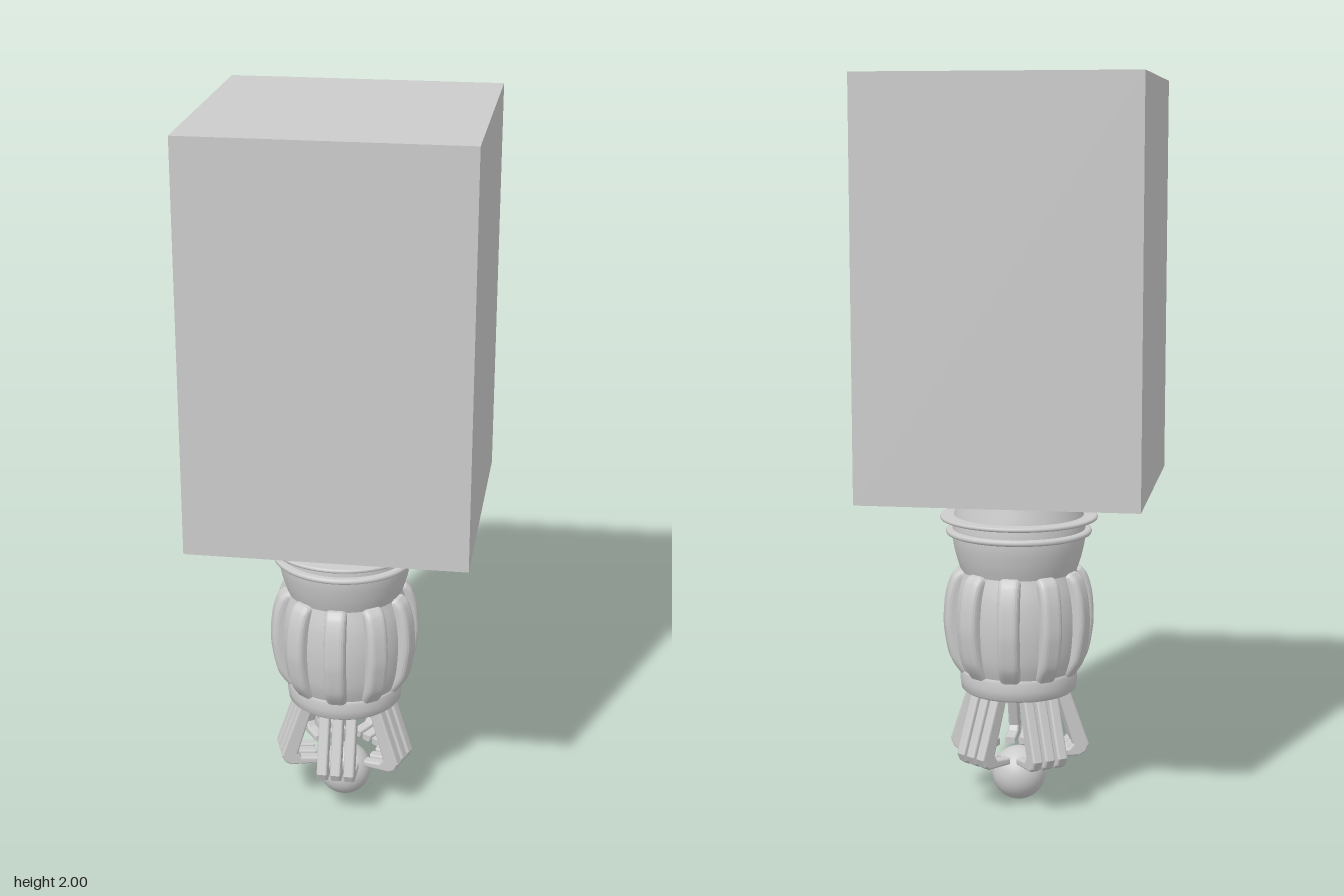
import * as THREE from 'three';

const grey = new THREE.MeshStandardMaterial({ color: 0xcccccc, side: THREE.DoubleSide });
const v2 = (pts) => pts.map(([x, y]) => new THREE.Vector2(x, y));

function add(parent, name, geometry, y = 0) {
  const mesh = new THREE.Mesh(geometry, grey);
  mesh.name = name;
  mesh.position.y = y;
  parent.add(mesh);
  return mesh;
}

// Upright plate whose (radius, height) outline faces outward along +z
function radialPlate(shape, thickness, bevel) {
  const depth = thickness - 2 * bevel;
  const geo = new THREE.ExtrudeGeometry(shape, {
    depth, bevelEnabled: true, bevelSize: bevel, bevelThickness: bevel,
    bevelOffset: -bevel, bevelSegments: 4, curveSegments: 8,
  });
  geo.translate(0, 0, -depth / 2);
  geo.rotateY(-Math.PI / 2);
  return geo;
}

export function createModel() {
  const model = new THREE.Group();
  model.name = 'claw lamp';

  // Large square block
  add(model, 'block', new THREE.BoxGeometry(0.745, 1.1, 0.745), 1.45);

  // Turned fitting, sitting slightly forward of the block's centre
  const fitting = new THREE.Group();
  fitting.name = 'fitting';
  fitting.position.z = 0.02;
  model.add(fitting);

  // Neck: waisted below the rings
  const neck = new THREE.SplineCurve(v2([
    [0.163, 0.9], [0.17, 0.86], [0.182, 0.8], [0.183, 0.75], [0.173, 0.7], [0.16, 0.66],
  ])).getPoints(24).reverse();
  add(fitting, 'neck', new THREE.LatheGeometry(neck, 64));

  // Bulging core between the ribs
  const core = new THREE.SplineCurve(v2([
    [0.155, 0.37], [0.174, 0.43], [0.182, 0.52], [0.176, 0.6], [0.16, 0.66],
  ])).getPoints(24);
  add(fitting, 'core', new THREE.LatheGeometry(core, 64));

  // Bottom collar with a closed underside
  add(fitting, 'collar', new THREE.LatheGeometry(v2([
    [0, 0.32], [0.15, 0.32], [0.15, 0.32], [0.16, 0.328], [0.163, 0.35],
    [0.163, 0.375], [0.158, 0.385], [0.14, 0.388],
  ]), 64));

  // Thin rings round the neck
  for (const [radius, y, thick] of [[0.204, 0.88, 0.012], [0.218, 0.81, 0.012], [0.202, 0.77, 0.016]]) {
    const h = thick / 2;
    add(fitting, 'neckRing', new THREE.LatheGeometry(v2([
      [0.15, -h], [radius - h, -h], [radius - h * 0.3, -h * 0.7], [radius, 0],
      [radius - h * 0.3, h * 0.7], [radius - h, h], [0.15, h],
    ]), 64), y);
  }

  // Ten rounded ribs
  const rib = new THREE.Shape();
  rib.moveTo(0.135, 0.375);
  rib.lineTo(0.165, 0.375);
  rib.splineThru(v2([[0.193, 0.42], [0.207, 0.49], [0.209, 0.54], [0.203, 0.6], [0.189, 0.645], [0.172, 0.665]]));
  rib.lineTo(0.135, 0.67);
  const ribGeo = radialPlate(rib, 0.06, 0.016);
  for (let i = 0; i < 10; i++) {
    add(fitting, 'rib', ribGeo).rotation.y = (i * Math.PI) / 5;
  }

  // Five claws, each of three parallel hooked bars
  const hook = new THREE.Shape(v2([
    [0.095, 0.33], [0.145, 0.165], [0.135, 0.152], [0.085, 0.147], [0.085, 0.128],
    [0.165, 0.13], [0.182, 0.14], [0.192, 0.162], [0.133, 0.33],
  ]));
  const hookGeo = radialPlate(hook, 0.03, 0.006);
  for (let i = 0; i < 5; i++) {
    const claw = new THREE.Group();
    claw.name = 'claw';
    claw.rotation.y = (i * Math.PI * 2) / 5;
    for (const side of [-1, 0, 1]) {
      add(claw, 'clawBar', hookGeo).position.x = side * 0.038;
    }
    fitting.add(claw);
  }

  // Ball held between the claws
  add(fitting, 'ball', new THREE.SphereGeometry(0.075, 40, 28), 0.075);

  return model;
}
